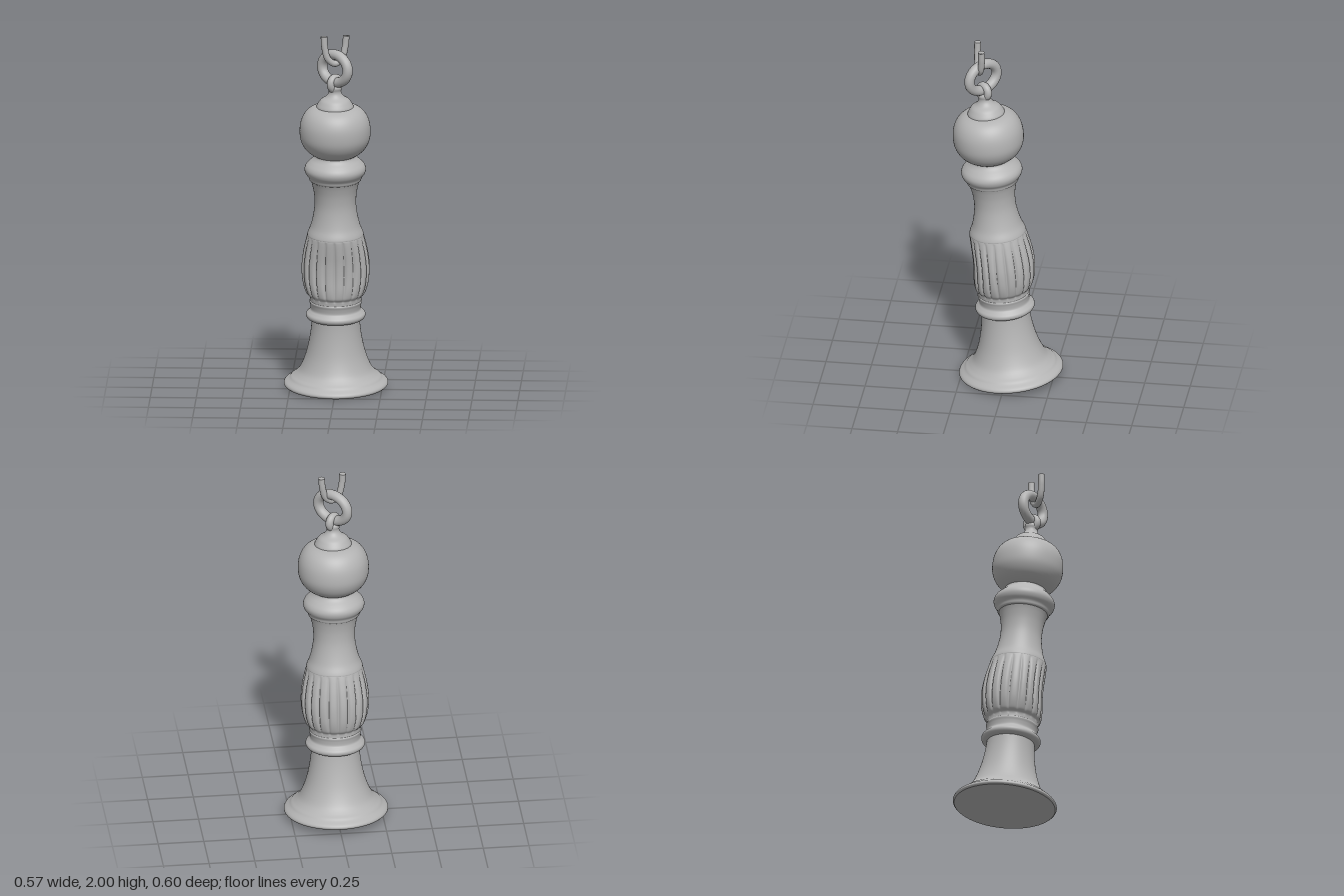
import * as THREE from 'three';
import { mergeVertices } from 'three/addons/utils/BufferGeometryUtils.js';

const grey = new THREE.MeshStandardMaterial({ color: 0xb4b4b4 });
grey.name = 'grey metal';

function part(name, geometry) {
  const mesh = new THREE.Mesh(geometry, grey);
  mesh.name = name;
  return mesh;
}

// Smoothly turned part from [radius, height] points, bottom to top
function turned(name, points, segments = 64, steps = 40) {
  const spline = new THREE.SplineCurve(points.map(([r, y]) => new THREE.Vector2(r, y)));
  const profile = spline.getPoints(steps);
  profile.forEach(p => { p.x = Math.max(p.x, 0); });
  return part(name, new THREE.LatheGeometry(profile, segments));
}

// Swollen grip with rounded flutes, a little flatter at the front
function flutedGrip() {
  const mesh = turned('flutedGrip', [
    [0.14, 0.475], [0.142, 0.505], [0.162, 0.53], [0.18, 0.59], [0.186, 0.67],
    [0.178, 0.75], [0.163, 0.82], [0.15, 0.865]], 200, 56);
  let geo = mesh.geometry;
  const pos = geo.attributes.position;
  for (let i = 0; i < pos.count; i++) {
    const x = pos.getX(i), y = pos.getY(i), z = pos.getZ(i);
    const t = THREE.MathUtils.clamp((y - 0.5) / 0.35, 0, 1);
    const swell = Math.sin(Math.PI * t);
    const groove = Math.pow(1 - Math.abs(Math.sin(10 * Math.atan2(x, z))), 2);
    const k = 1 - 0.09 * Math.sqrt(Math.max(swell, 0)) * groove;
    const front = z > 0 ? 1 - 0.2 * swell : 1;
    pos.setXYZ(i, x * k, y, z * k * front);
  }
  geo.deleteAttribute('uv');
  geo.deleteAttribute('normal');
  geo = mergeVertices(geo, 1e-5);
  geo.computeVertexNormals();
  mesh.geometry = geo;
  return mesh;
}

export function createModel() {
  const model = new THREE.Group();
  model.name = 'pendant';

  // Turned body, leaning forward
  const body = new THREE.Group();
  body.name = 'body';
  body.position.set(0, 0.025, -0.018);
  body.rotation.x = 0.088;
  model.add(body);

  const underside = part('underside', new THREE.CircleGeometry(0.276, 64));
  underside.rotation.x = Math.PI / 2;
  body.add(underside);
  body.add(turned('flaredBase', [
    [0.276, 0], [0.284, 0.01], [0.278, 0.024], [0.255, 0.04], [0.243, 0.052],
    [0.222, 0.068], [0.195, 0.1], [0.166, 0.17], [0.146, 0.25], [0.134, 0.33],
    [0.13, 0.4], [0.132, 0.43]]));
  body.add(turned('lowerRing', [
    [0.125, 0.375], [0.15, 0.38], [0.161, 0.393], [0.16, 0.408], [0.147, 0.422],
    [0.137, 0.435], [0.139, 0.46], [0.143, 0.477], [0.136, 0.487]]));
  body.add(flutedGrip());
  body.add(turned('neck', [
    [0.14, 0.845], [0.153, 0.853], [0.15, 0.87], [0.134, 0.91], [0.12, 0.97],
    [0.113, 1.03], [0.116, 1.09], [0.126, 1.14], [0.137, 1.175], [0.135, 1.19]]));
  body.add(turned('collar', [
    [0.12, 1.158], [0.139, 1.166], [0.146, 1.185], [0.161, 1.205], [0.167, 1.228],
    [0.16, 1.25], [0.142, 1.27], [0.122, 1.288], [0.112, 1.305], [0.115, 1.33]]));
  body.add(turned('ball', [
    [0.06, 1.288], [0.115, 1.308], [0.16, 1.343], [0.186, 1.39], [0.193, 1.44],
    [0.187, 1.495], [0.165, 1.542], [0.128, 1.573], [0.07, 1.586], [0, 1.588]]));
  body.add(turned('cap', [
    [0.09, 1.56], [0.1, 1.572], [0.1, 1.586], [0.09, 1.604], [0.076, 1.622],
    [0.052, 1.638], [0.038, 1.655], [0.034, 1.672], [0.038, 1.69], [0.03, 1.705],
    [0, 1.71]]));

  // Eyelet and the ring hanging in it
  const eyelet = part('eyelet', new THREE.TorusGeometry(0.032, 0.022, 16, 40));
  eyelet.position.set(0, 1.73, 0.132);
  eyelet.rotation.y = 0.85;
  model.add(eyelet);

  const oval = [];
  for (let i = 0; i < 24; i++) {
    const a = i / 24 * Math.PI * 2;
    oval.push(new THREE.Vector3(0.096 * Math.cos(a), 0.077 * Math.sin(a), 0));
  }
  const ring = part('ring', new THREE.TubeGeometry(
    new THREE.CatmullRomCurve3(oval, true), 64, 0.028, 16, true));
  ring.position.set(0, 1.816, 0.138);
  ring.rotation.y = -0.73;
  model.add(ring);

  // Open upper link, cut off at the top
  const ends = [new THREE.Vector3(-0.058, 2, 0.176), new THREE.Vector3(0.062, 2, 0.138)];
  const path = new THREE.CatmullRomCurve3([
    ends[0],
    new THREE.Vector3(-0.054, 1.94, 0.176),
    new THREE.Vector3(-0.036, 1.875, 0.172),
    new THREE.Vector3(0.002, 1.848, 0.16),
    new THREE.Vector3(0.038, 1.875, 0.146),
    new THREE.Vector3(0.056, 1.94, 0.138),
    ends[1]]);
  model.add(part('upperLink', new THREE.TubeGeometry(path, 40, 0.018, 12)));
  for (const end of ends) {
    const tip = part('linkEnd', new THREE.CircleGeometry(0.018, 12));
    tip.position.copy(end);
    tip.rotation.x = -Math.PI / 2;
    model.add(tip);
  }
  return model;
}
